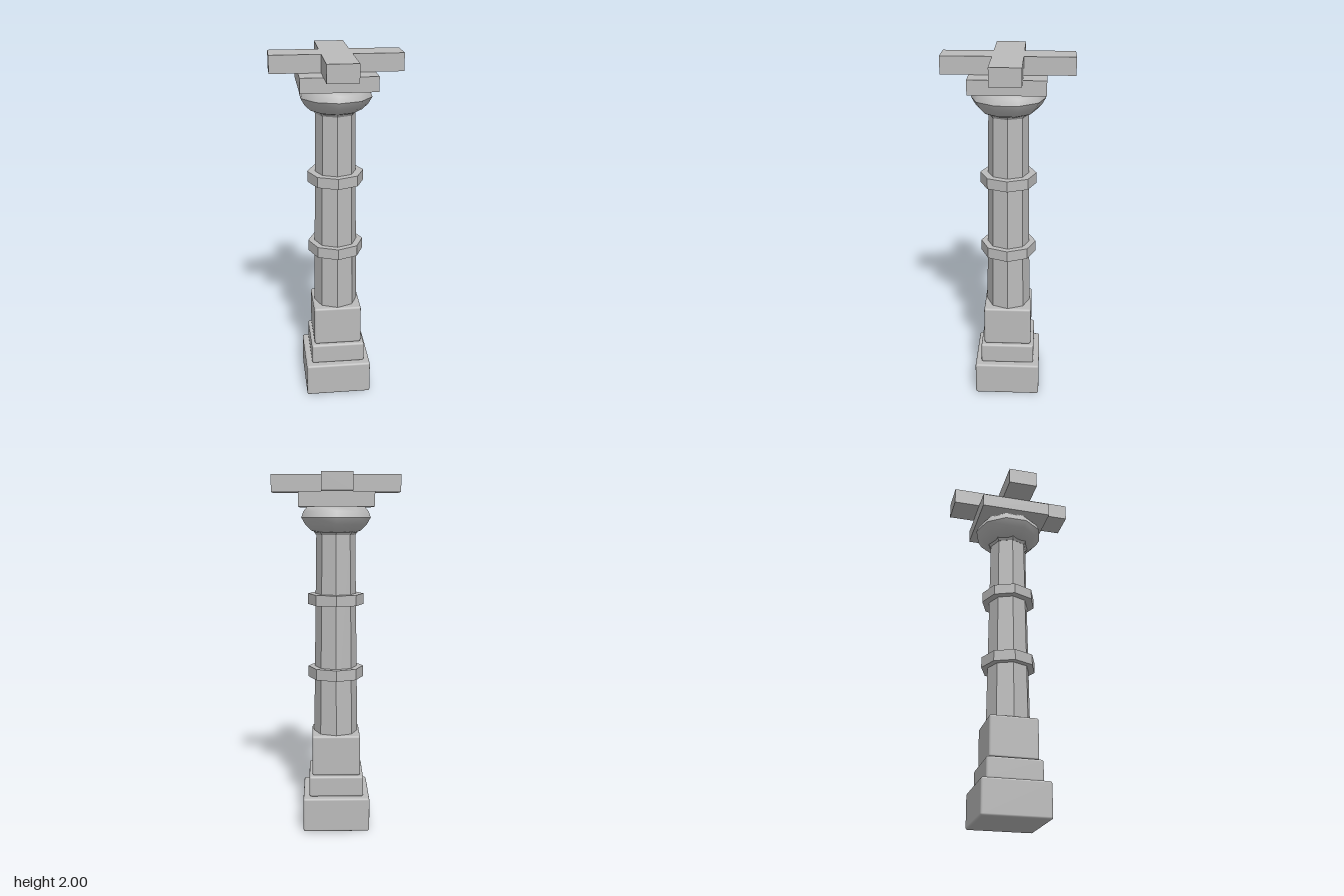
import * as THREE from 'three';
import { RoundedBoxGeometry } from 'three/addons/geometries/RoundedBoxGeometry.js';

export function createModel() {
  const model = new THREE.Group();
  model.name = 'column';
  const stone = new THREE.MeshStandardMaterial({ color: 0xbbbbbb });
  stone.name = 'grey stone';

  const add = (name, geometry) => {
    const mesh = new THREE.Mesh(geometry, stone);
    mesh.name = name;
    model.add(mesh);
    return mesh;
  };

  // Eight-sided, flat-faced prism or frustum between two heights
  const octagon = (name, rBottom, rTop, y0, y1) => {
    const g = new THREE.CylinderGeometry(rTop, rBottom, y1 - y0, 8).toNonIndexed();
    g.computeVertexNormals();
    add(name, g).position.y = (y0 + y1) / 2;
  };

  // Stepped base of softly bevelled blocks
  const blocks = [
    ['plinth', 0.188, 0, 0.197],
    ['middleBlock', 0.154, 0.197, 0.317],
    ['upperBlock', 0.136, 0.317, 0.55],
  ];
  for (const [name, half, y0, y1] of blocks) {
    const g = new RoundedBoxGeometry(half * 2, y1 - y0, half * 2, 2, 0.012);
    add(name, g).position.y = (y0 + y1) / 2;
  }

  // Tapering shaft with two bands
  octagon('shaft', 0.125, 0.108, 0.54, 1.72);
  octagon('lowerBand', 0.156, 0.156, 0.87, 0.932);
  octagon('upperBand', 0.156, 0.156, 1.288, 1.348);
  octagon('shaftCollar', 0.11, 0.132, 1.675, 1.705);

  // Ten-sided cushion capital with a sharp edge at its widest ring
  const lathe = (name, profile) =>
    add(name, new THREE.LatheGeometry(profile.map(([r, y]) => new THREE.Vector2(r, y)), 10));
  lathe('capitalBowl', [[0, 1.688], [0.115, 1.688], [0.145, 1.7], [0.178, 1.732], [0.2, 1.77]]);
  lathe('capitalCrown', [[0.2, 1.77], [0.187, 1.803], [0.165, 1.828], [0, 1.828]]);

  // Square slab and crossed beams
  const box = (name, w, d, y0, y1) => {
    add(name, new THREE.BoxGeometry(w, y1 - y0, d)).position.y = (y0 + y1) / 2;
  };
  box('abacus', 0.406, 0.406, 1.826, 1.905);
  const a = 0.352, b = 0.082;
  const cross = new THREE.Shape([
    [b, b], [b, a], [-b, a], [-b, b], [-a, b], [-a, -b],
    [-b, -b], [-b, -a], [b, -a], [b, -b], [a, -b], [a, b],
  ].map(([x, y]) => new THREE.Vector2(x, y)));
  const beams = new THREE.ExtrudeGeometry(cross, { depth: 0.095, bevelEnabled: false });
  beams.rotateX(-Math.PI / 2);
  add('crossBeams', beams).position.y = 1.905;

  return model;
}
